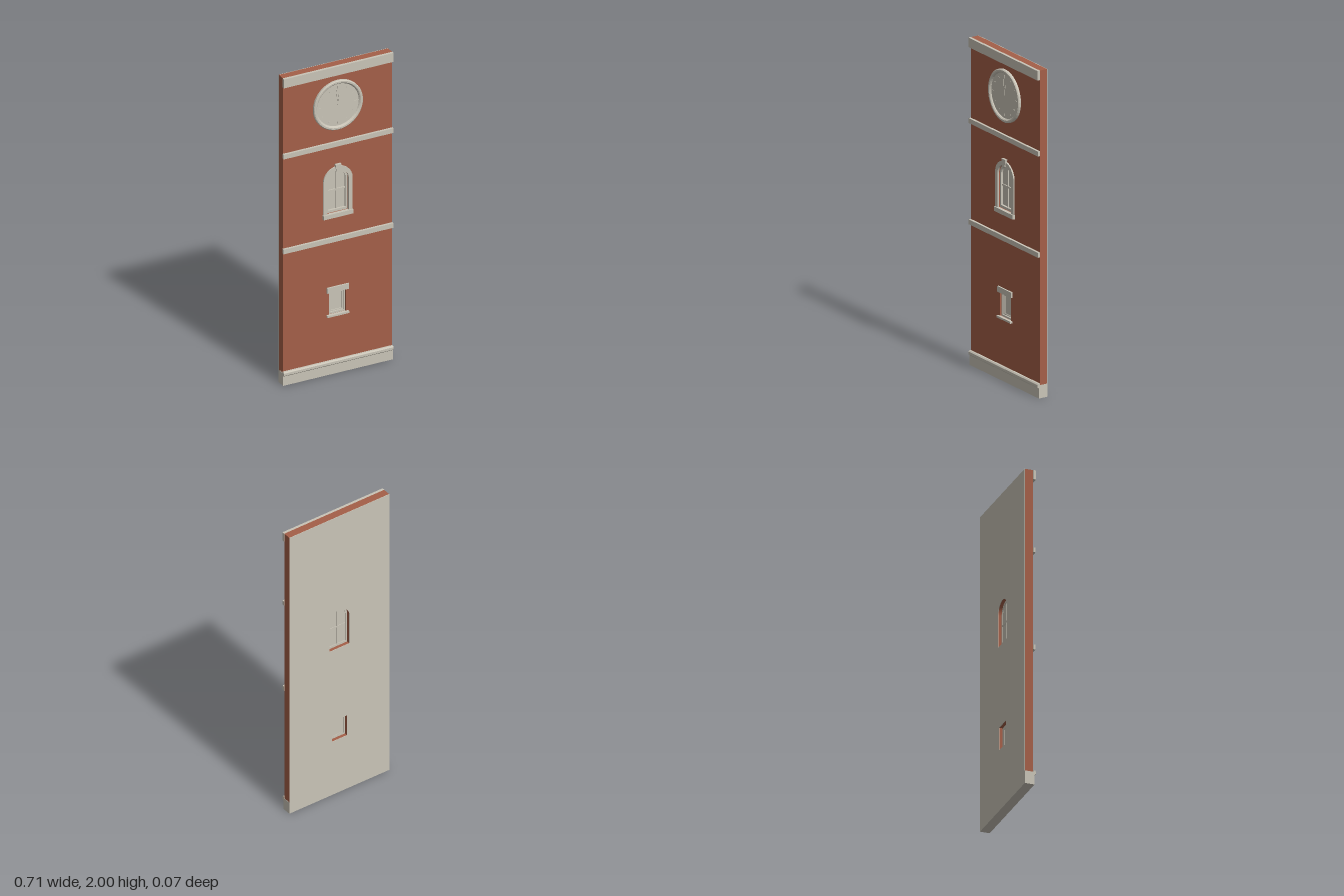
import * as THREE from 'three';

const BRICK_BACK = -0.032, FACE = 0.017, BACK = -0.035;

export function createModel() {
  const model = new THREE.Group();
  model.name = 'towerWall';
  const brick = new THREE.MeshStandardMaterial({ color: 0xa45f48 });
  brick.name = 'brick red';
  const stone = new THREE.MeshStandardMaterial({ color: 0xc9c4b7 });
  stone.name = 'pale stone';

  const add = (name, geometry, material = stone, parent = model) => {
    const mesh = new THREE.Mesh(geometry, material);
    mesh.name = name;
    parent.add(mesh);
    return mesh;
  };
  // Box given by its limits on each axis
  const box = (name, x0, x1, y0, y1, z0, z1, parent = model, material = stone) => {
    const mesh = add(name, new THREE.BoxGeometry(x1 - x0, y1 - y0, z1 - z0), material, parent);
    mesh.position.set((x0 + x1) / 2, (y0 + y1) / 2, (z0 + z1) / 2);
    return mesh;
  };
  const rect = (T, w, y0, y1) => {
    const p = new T();
    p.moveTo(-w, y0); p.lineTo(w, y0); p.lineTo(w, y1); p.lineTo(-w, y1); p.closePath();
    return p;
  };
  const arch = (T, w, y0, spring) => {
    const p = new T();
    p.moveTo(-w, y0); p.lineTo(w, y0); p.lineTo(w, spring);
    p.absarc(0, spring, w, 0, Math.PI, false);
    p.closePath();
    return p;
  };
  // Flat outline with holes, given thickness from z0 to z1
  const slab = (name, shape, holes, z0, z1, material = stone, parent = model) => {
    shape.holes.push(...holes);
    const g = new THREE.ExtrudeGeometry(shape, { depth: z1 - z0, bevelEnabled: false, curveSegments: 20 });
    g.translate(0, 0, z0);
    return add(name, g, material, parent);
  };

  // Wall with two through openings, and the plaster skin behind it
  const W = 0.355;
  const openings = () => [rect(THREE.Path, 0.055, 0.385, 0.53), arch(THREE.Path, 0.071, 1.045, 1.25)];
  slab('brickWall', rect(THREE.Shape, W, 0.08, 2), openings(), BRICK_BACK, FACE, brick);
  slab('backPlaster', rect(THREE.Shape, W, 0.08, 2), openings(), BACK, BRICK_BACK);

  // Plinth with a projecting, sloped lip
  const profile = new THREE.Shape();
  [[BACK, 0], [0.025, 0], [0.025, 0.06], [0.034, 0.068], [0.034, 0.083], [0.028, 0.09], [FACE, 0.09], [FACE, 0.08], [BACK, 0.08]]
    .forEach(([z, y], i) => (i ? profile.lineTo(-z, y) : profile.moveTo(-z, y)));
  const plinth = new THREE.ExtrudeGeometry(profile, { depth: 2 * W + 0.004, bevelEnabled: false });
  plinth.translate(0, 0, -W - 0.002);
  plinth.rotateY(Math.PI / 2);
  add('plinth', plinth);

  // Horizontal courses
  const B = W + 0.002;
  box('topBand', -B, B, 1.942, 2, FACE, 0.034);
  box('upperCourse', -B, B, 1.478, 1.508, FACE, 0.032);
  box('lowerCourse', -B, B, 0.86, 0.89, FACE, 0.032);

  // Clock with a raised rim, recessed dial, hour marks and hands
  const clock = new THREE.Group();
  clock.name = 'clock';
  clock.position.set(0, 1.745, FACE);
  model.add(clock);
  const rim = [[0.16, 0], [0.16, 0.012], [0.155, 0.017], [0.145, 0.017], [0.139, 0.012], [0.136, 0.006], [0, 0.006]]
    .map(([r, h]) => new THREE.Vector2(r, h));
  const dial = new THREE.LatheGeometry(rim, 48).toNonIndexed();
  dial.computeVertexNormals();
  dial.rotateX(Math.PI / 2);
  add('clockFace', dial, stone, clock);
  for (let i = 0; i < 12; i++) {
    const a = (i * Math.PI) / 6, long = i % 3 ? 0.01 : 0.016;
    const mark = add('hourMark', new THREE.BoxGeometry(0.004, long, 0.004), stone, clock);
    mark.position.set(Math.sin(a) * 0.115, Math.cos(a) * 0.115, 0.007);
    mark.rotation.z = -a;
  }
  [[0.1, 0.004, 0.1], [0.065, 0.006, -0.12]].forEach(([len, w, a], i) => {
    const hand = add(i ? 'hourHand' : 'minuteHand', new THREE.BoxGeometry(w, len, 0.003), stone, clock);
    hand.position.set(-Math.sin(a) * len / 2, Math.cos(a) * len / 2, 0.008 + i * 0.001);
    hand.rotation.z = a;
  });

  // Arched window
  const big = new THREE.Group();
  big.name = 'archedWindow';
  model.add(big);
  slab('archSurround', arch(THREE.Shape, 0.095, 1.04, 1.25), [arch(THREE.Path, 0.07, 1.04, 1.25)], FACE - 0.002, 0.026, stone, big);
  slab('archFrame', arch(THREE.Shape, 0.071, 1.045, 1.25), [arch(THREE.Path, 0.058, 1.06, 1.25)], -0.012, 0.008, stone, big);
  slab('archPane', arch(THREE.Shape, 0.07, 1.046, 1.25), [], -0.008, -0.005, stone, big);
  box('archMullion', -0.004, 0.004, 1.05, 1.315, -0.011, 0.002, big);
  box('archTransom', -0.062, 0.062, 1.178, 1.188, -0.011, 0.002, big);
  box('archSill', -0.097, 0.097, 1.018, 1.045, FACE - 0.004, 0.033, big);
  // Tapered keystone
  const key = new THREE.Shape();
  key.moveTo(-0.013, 1.315); key.lineTo(0.013, 1.315); key.lineTo(0.019, 1.36); key.lineTo(-0.019, 1.36); key.closePath();
  slab('keystone', key, [], FACE - 0.002, 0.032, stone, big);

  // Small square window
  const small = new THREE.Group();
  small.name = 'smallWindow';
  model.add(small);
  box('lintel', -0.071, 0.071, 0.53, 0.565, FACE - 0.004, 0.027, small);
  box('smallSill', -0.071, 0.071, 0.375, 0.387, FACE - 0.004, 0.032, small);
  slab('smallFrame', rect(THREE.Shape, 0.055, 0.385, 0.53), [rect(THREE.Path, 0.044, 0.396, 0.519)], -0.012, 0.008, stone, small);
  slab('smallInnerFrame', rect(THREE.Shape, 0.045, 0.395, 0.52), [rect(THREE.Path, 0.035, 0.403, 0.511)], -0.011, 0, stone, small);
  box('smallPane', -0.054, 0.054, 0.386, 0.529, -0.009, -0.005, small);

  return model;
}
